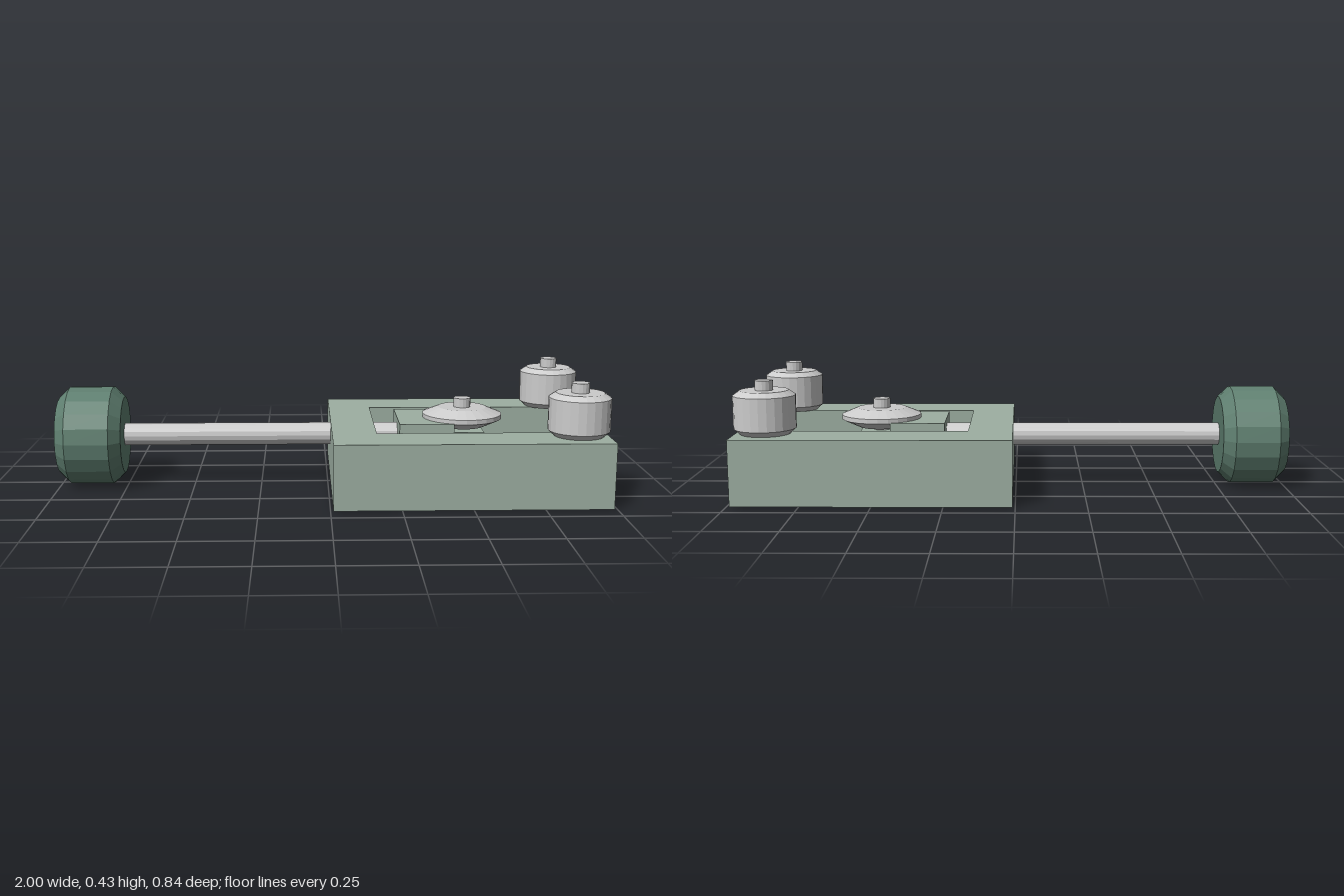
import * as THREE from 'three';

const paint = (color) => new THREE.MeshStandardMaterial({ color, flatShading: true });

export function createModel() {
  const model = new THREE.Group();
  const steel = paint(0xcccccc);
  const body = paint(0x9dafa2);
  const dark = paint(0x5f7f70);

  const add = (name, geometry, material, x = 0, y = 0, z = 0) => {
    const mesh = new THREE.Mesh(geometry, material);
    mesh.name = name;
    mesh.position.set(x, y, z);
    model.add(mesh);
    return mesh;
  };

  // Turned part from [radius, height] pairs, bottom to top
  const turned = (profile, sides) =>
    new THREE.LatheGeometry(profile.map(([r, h]) => new THREE.Vector2(r, h)), sides);

  // Flat outline in x and z, raised to a thickness
  const slab = (outline, height) => {
    const shape = new THREE.Shape(outline.map(([x, z]) => new THREE.Vector2(x, z)));
    return new THREE.ExtrudeGeometry(shape, { depth: height, bevelEnabled: false }).rotateX(-Math.PI / 2);
  };

  // U-shaped frame, open towards +x
  add('frame', slab([
    [0.01, -0.42], [0.99, -0.42], [0.99, -0.235], [0.17, -0.235],
    [0.17, 0.235], [0.99, 0.235], [0.99, 0.42], [0.01, 0.42],
  ], 0.235), body);

  // Sliding block with a lower tongue that carries the pressing wheel
  add('slider', new THREE.BoxGeometry(0.2, 0.122, 0.286), body, 0.36, 0.186, 0);
  add('sliderTongue', new THREE.BoxGeometry(0.14, 0.078, 0.17), body, 0.51, 0.164, 0);

  // Pressing wheel with its axle pin
  add('pressingWheel', turned([
    [0, 0.215], [0.085, 0.215], [0.148, 0.245], [0.148, 0.262], [0.09, 0.286], [0, 0.286],
  ], 24), steel, 0.505);
  add('pressingWheelPin', new THREE.CylinderGeometry(0.032, 0.032, 0.12, 16), steel, 0.505, 0.26, 0);

  // Two guide rollers on the arm ends
  for (const side of [1, -1]) {
    const label = side > 0 ? 'front' : 'back';
    add(label + 'Roller', turned([
      [0, 0.235], [0.088, 0.235], [0.11, 0.255], [0.11, 0.373], [0.086, 0.39], [0, 0.39],
    ], 24), steel, 0.885, 0, side * 0.281);
    add(label + 'RollerPin', new THREE.CylinderGeometry(0.032, 0.032, 0.06, 16), steel, 0.885, 0.395, side * 0.281);
  }

  // Drive shaft from the knob through the frame to the slider
  add('shaft', new THREE.CylinderGeometry(0.042, 0.042, 1.07, 16), steel, -0.265, 0.185, 0)
    .rotation.z = Math.PI / 2;

  // Chamfered hand knob
  add('knob', turned([
    [0, 0], [0.143, 0], [0.182, 0.04], [0.182, 0.2], [0.143, 0.24], [0, 0.24],
  ], 20), dark, -1, 0.184, 0).rotation.z = -Math.PI / 2;

  return model;
}
